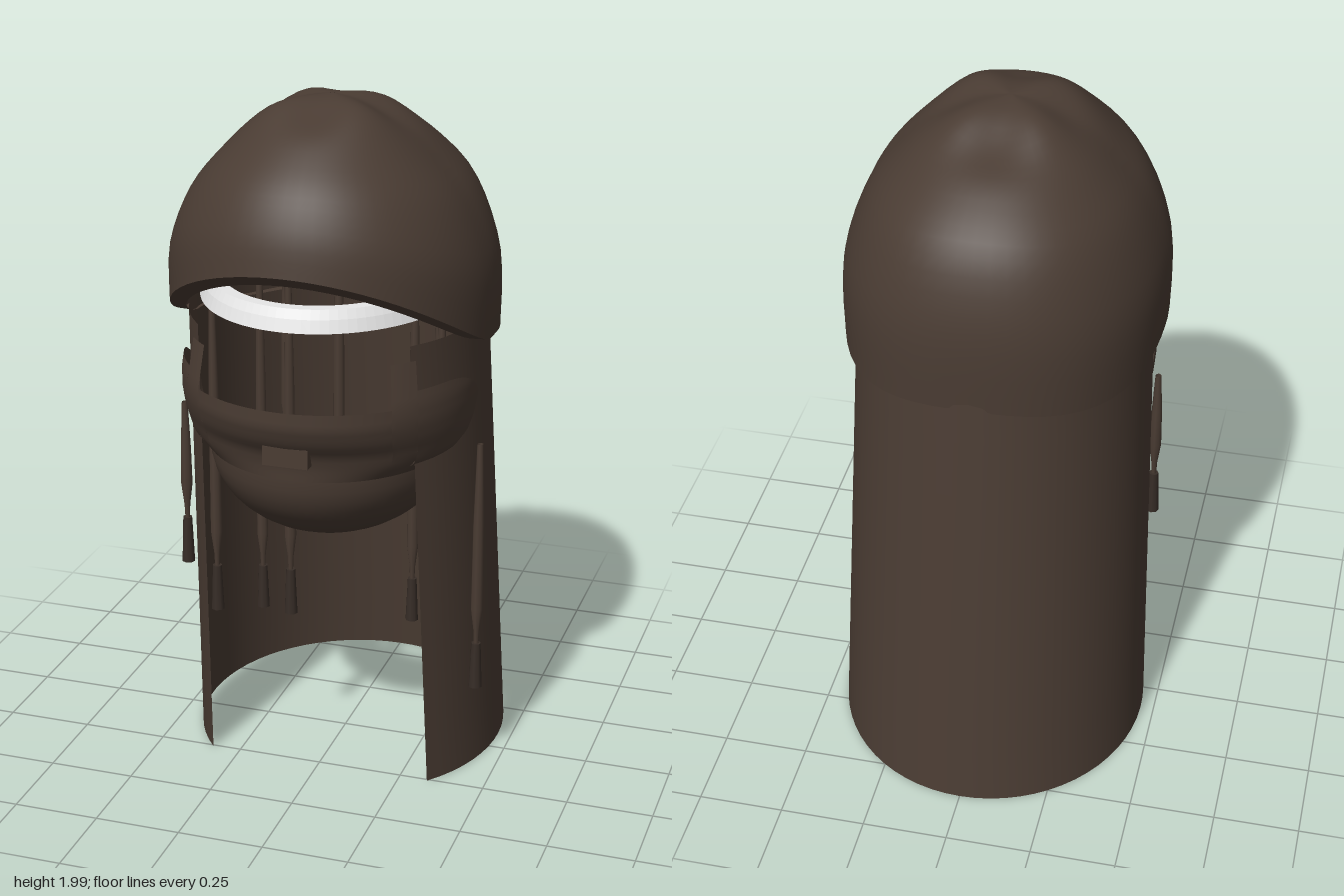
import * as THREE from 'three';
import { mergeVertices } from 'three/addons/utils/BufferGeometryUtils.js';

const brown = new THREE.MeshStandardMaterial({ color: 0x4a3c33, side: THREE.DoubleSide });
brown.name = 'dark brown';
const beadBrown = new THREE.MeshStandardMaterial({ color: 0x372d27 });
beadBrown.name = 'deep brown';
const white = new THREE.MeshStandardMaterial({ color: 0xf2f2f2 });
white.name = 'white';

const lerp = THREE.MathUtils.lerp;

// Smooth sheet from a rule: fn(u, v) gives a point, u across and v down
function sheet(cols, rows, fn) {
  const pos = [], idx = [];
  for (let j = 0; j <= rows; j++)
    for (let i = 0; i <= cols; i++) pos.push(...fn(i / cols, j / rows));
  for (let j = 0; j < rows; j++)
    for (let i = 0; i < cols; i++) {
      const a = j * (cols + 1) + i, b = a + cols + 1;
      idx.push(a, b, a + 1, a + 1, b, b + 1);
    }
  let g = new THREE.BufferGeometry();
  g.setAttribute('position', new THREE.Float32BufferAttribute(pos, 3));
  g.setIndex(idx);
  g = mergeVertices(g, 1e-4);
  g.computeVertexNormals();
  return g;
}

// Value at t (0..1) along a smooth curve through [r, y] points
const curve = pts => new THREE.SplineCurve(pts.map(p => new THREE.Vector2(...p)));
const frontLine = curve([[0, 1.99], [0.1, 1.985], [0.22, 1.95], [0.32, 1.88], [0.4, 1.8], [0.45, 1.7], [0.47, 1.6]]);
const sideLine = curve([[0, 1.99], [0.1, 1.975], [0.2, 1.93], [0.3, 1.83], [0.39, 1.71], [0.452, 1.53], [0.455, 1.33]]);
const backLine = curve([[0, 1.99], [0.1, 1.975], [0.22, 1.92], [0.34, 1.86], [0.46, 1.75], [0.525, 1.55], [0.53, 1.31]]);

// Domed cap: blends front, side and back profiles around a pole at z = 0.11
function capPoint(u, t) {
  const a = (u - 0.5) * 2 * Math.PI, s = Math.sin(a), c = Math.cos(a);
  const end = (c > 0 ? frontLine : backLine).getPoint(t), side = sideLine.getPoint(t);
  const n = c > 0 ? 2 : 2.3;
  const r = t === 0 ? 0 : Math.pow(Math.pow(Math.abs(s) / side.x, n) + Math.pow(Math.abs(c) / end.x, n), -1 / n);
  const w = Math.pow(Math.abs(c), 1.3);
  const fold = -0.014 * Math.cos(4 * a) * Math.exp(-Math.pow((r - 0.17) / 0.08, 2));
  const sag = c < 0 ? -0.03 * Math.pow(Math.sin(2 * a), 2) * t * t : 0;
  return [r * s, lerp(side.y, end.y, w) + fold + sag, 0.11 + r * c];
}

// Turned-in lip under the cap rim
function lipPoint(u, v) {
  const [x, y, z] = capPoint(u, 1);
  const k = 1 - 0.1 * v, c = Math.max(0, Math.cos((u - 0.5) * 2 * Math.PI));
  return [x * k, y - 0.035 * c * v, 0.11 + (z - 0.11) * k];
}

// Long curtain: elliptical tube open at the front, leaning forward as it rises
function curtainPoint(u, v) {
  const y = 1.38 * (1 - v), a = lerp(-133.5, 133.5, u) * Math.PI / 180;
  return [(0.46 - 0.03 * y) * Math.sin(a), y, -0.084 + 0.1 * y - (0.496 - 0.02 * y) * Math.cos(a)];
}

// Half widths and depths of the mask by height: [y, half width, depth]
const maskRows = [[1.0, 0.35, 0.375], [1.04, 0.4, 0.378], [1.08, 0.412, 0.39], [1.12, 0.418, 0.42],
  [1.17, 0.422, 0.44], [1.22, 0.422, 0.44], [1.34, 0.405, 0.41]];
function maskSize(y) {
  let i = 1;
  while (i < maskRows.length - 1 && y > maskRows[i][0]) i++;
  const [p, q] = [maskRows[i - 1], maskRows[i]], t = (y - p[0]) / (q[0] - p[0]);
  return [lerp(p[1], q[1], t), lerp(p[2], q[2], t)];
}
function maskPoint(from, to, top, low = 1.0) {
  return (u, v) => {
    const d = lerp(from, to, u), a = d * Math.PI / 180;
    // the tail ends round off behind the curtain's front edge
    const tail = Math.max(0, (Math.abs(d) - 60) / 35);
    const y = lerp(top - 0.1 * tail ** 3, low + 0.03 * tail, v);
    const [w, depth] = maskSize(y);
    return [w * Math.sin(a), y, 0.12 + depth * Math.cos(a)];
  };
}

// Chin bowl: front part of a lower half ellipsoid
function chinPoint(u, v) {
  const a = lerp(-100, 100, u) * Math.PI / 180, e = v * Math.PI / 2;
  return [0.35 * Math.cos(e) * Math.sin(a), 1.0 - 0.27 * Math.sin(e), 0.1 + 0.395 * Math.cos(e) * Math.cos(a)];
}

// Closed cross-section of the white band, swept around the brow
const bandSection = [[0, 1.44], [-0.012, 1.475], [-0.025, 1.5], [-0.06, 1.5], [-0.06, 1.44], [0, 1.44]];
function bandPoint(u, v) {
  const a = lerp(-78, 78, u) * Math.PI / 180, [o, y] = bandSection[Math.round(v * 5)];
  return [(0.365 + o) * Math.sin(a), y, 0.1 + (0.44 + o) * Math.cos(a)];
}

// Hanging strand with a flared bead at its lower end
function strand(x, z, bottom, top) {
  const g = new THREE.Group();
  g.name = 'strand';
  const neck = bottom + 0.13;
  const cord = new THREE.Mesh(new THREE.LatheGeometry(
    [[0.007, neck], [0.009, neck + 0.05], [0.018, neck + 0.12], [0.016, lerp(neck, top, 0.6)], [0.009, top]]
      .map(p => new THREE.Vector2(...p)), 8), brown);
  cord.name = 'cord';
  const bead = new THREE.Mesh(new THREE.CylinderGeometry(0.014, 0.02, 0.14, 8), beadBrown);
  bead.name = 'bead';
  bead.position.y = bottom + 0.07;
  g.add(cord, bead);
  g.position.set(x, 0, z);
  return g;
}

export function createModel() {
  const model = new THREE.Group();
  model.name = 'hood';
  const add = (name, geometry, material = brown) => {
    const m = new THREE.Mesh(geometry, material);
    m.name = name;
    model.add(m);
    return m;
  };

  add('cap', sheet(64, 24, capPoint));
  add('capLip', sheet(64, 1, lipPoint));
  add('curtain', sheet(48, 8, curtainPoint));

  // Mask: low front, raised steps beside it, and tails over the curtain
  add('maskFront', sheet(32, 14, maskPoint(-41, 41, 1.22)));
  for (const s of [-1, 1]) {
    add('maskStep', sheet(6, 14, maskPoint(s * 41, s * 52, 1.34)));
    add('maskTail', sheet(16, 14, maskPoint(s * 52, s * 95, 1.26)));
  }
  add('chin', sheet(32, 12, chinPoint));
  add('mouth', new THREE.BoxGeometry(0.13, 0.055, 0.07)).position.set(0, 1.08, 0.495);

  const band = sheet(40, 5, bandPoint).toNonIndexed();
  band.computeVertexNormals();
  const bandMaterial = white;
  bandMaterial.side = THREE.DoubleSide;
  add('browBand', band, bandMaterial);

  // Strands: x, z, bottom, top
  for (const s of [
    [0.437, 0.12, 0.26, 1.02], [-0.427, 0.185, 0.57, 1.07],
    [-0.12, 0.15, 0.43, 1.5], [-0.335, 0.19, 0.43, 1.4], [-0.335, -0.2, 0.26, 1.4],
    [0.135, -0.25, 0.26, 1.45], [-0.085, -0.2, 0.57, 1.5], [-0.215, -0.1, 0.74, 1.45],
    [0.24, -0.15, 0.57, 1.45], [0.315, 0.1, 0.43, 1.4], [0.32, -0.1, 0.74, 1.4],
  ]) model.add(strand(...s));

  return model;
}
